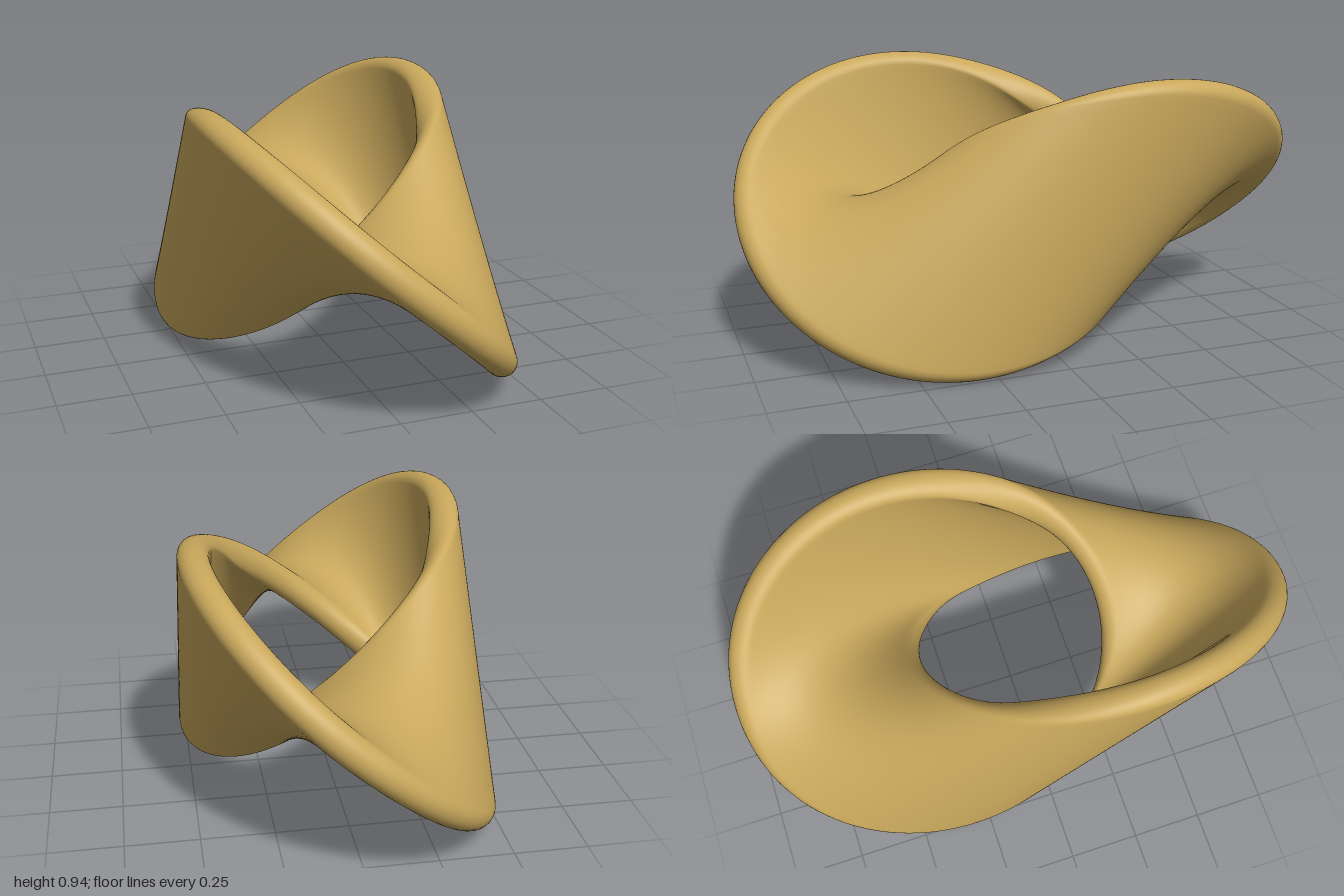
import * as THREE from 'three';

const R = 2 / 3;            // radius of the two linked edge circles
const C = 1 / 3;            // their centres sit at z = +C and z = -C
const S = R * Math.SQRT1_2; // each circle's plane is tilted 45 degrees
const T = 0.052;            // half thickness of the band

// Outline of the band's section: v runs across the width, a is the angle
// from the surface normal (0 = upper face, PI = lower face).
function sectionOutline(faceSteps, capSteps) {
  const outline = [];
  for (const side of [1, -1]) {
    for (let i = 0; i < faceSteps; i++) {
      outline.push({ v: side * (-1 + (2 * i) / faceSteps), a: side > 0 ? 0 : Math.PI });
    }
    for (let i = 0; i < capSteps; i++) {
      outline.push({ v: side, a: (side > 0 ? 0 : Math.PI) + (Math.PI * i) / capSteps });
    }
  }
  return outline;
}

// Sweep the rounded section once round the loop while it makes a full twist.
function twistedBandGeometry(steps) {
  const outline = sectionOutline(32, 14);
  const count = outline.length;
  const positions = [];
  const indices = [];

  for (let i = 0; i < steps; i++) {
    const angle = (i / steps) * Math.PI * 2;
    const s = Math.sin(angle);
    const c = Math.cos(angle);
    const middle = new THREE.Vector3(S * s, S, R * c);
    const half = new THREE.Vector3(0, -S * s, C); // middle to one edge
    const across = half.clone().normalize();
    const inset = 1 - T / half.length();          // room for the round rim

    for (const { v, a } of outline) {
      const w = v * inset;
      const along = new THREE.Vector3(S * c, -w * S * c, -R * s);
      const normal = along.cross(half).normalize();
      const p = middle.clone()
        .addScaledVector(half, w)
        .addScaledVector(normal, T * Math.cos(a))
        .addScaledVector(across, T * Math.sin(a));
      positions.push(p.x, p.y, p.z);
    }

    const row = i * count;
    const next = ((i + 1) % steps) * count;
    for (let j = 0; j < count; j++) {
      const k = (j + 1) % count;
      indices.push(row + j, next + j, next + k, row + j, next + k, row + k);
    }
  }

  const geometry = new THREE.BufferGeometry();
  geometry.setAttribute('position', new THREE.Float32BufferAttribute(positions, 3));
  geometry.setIndex(indices);
  geometry.computeVertexNormals();
  return geometry;
}

export function createModel() {
  const group = new THREE.Group();
  group.name = 'twistedRing';

  const material = new THREE.MeshStandardMaterial({ color: 0xc9a85c });
  const band = new THREE.Mesh(twistedBandGeometry(288), material);
  band.name = 'twistedBand';
  group.add(band);
  return group;
}
